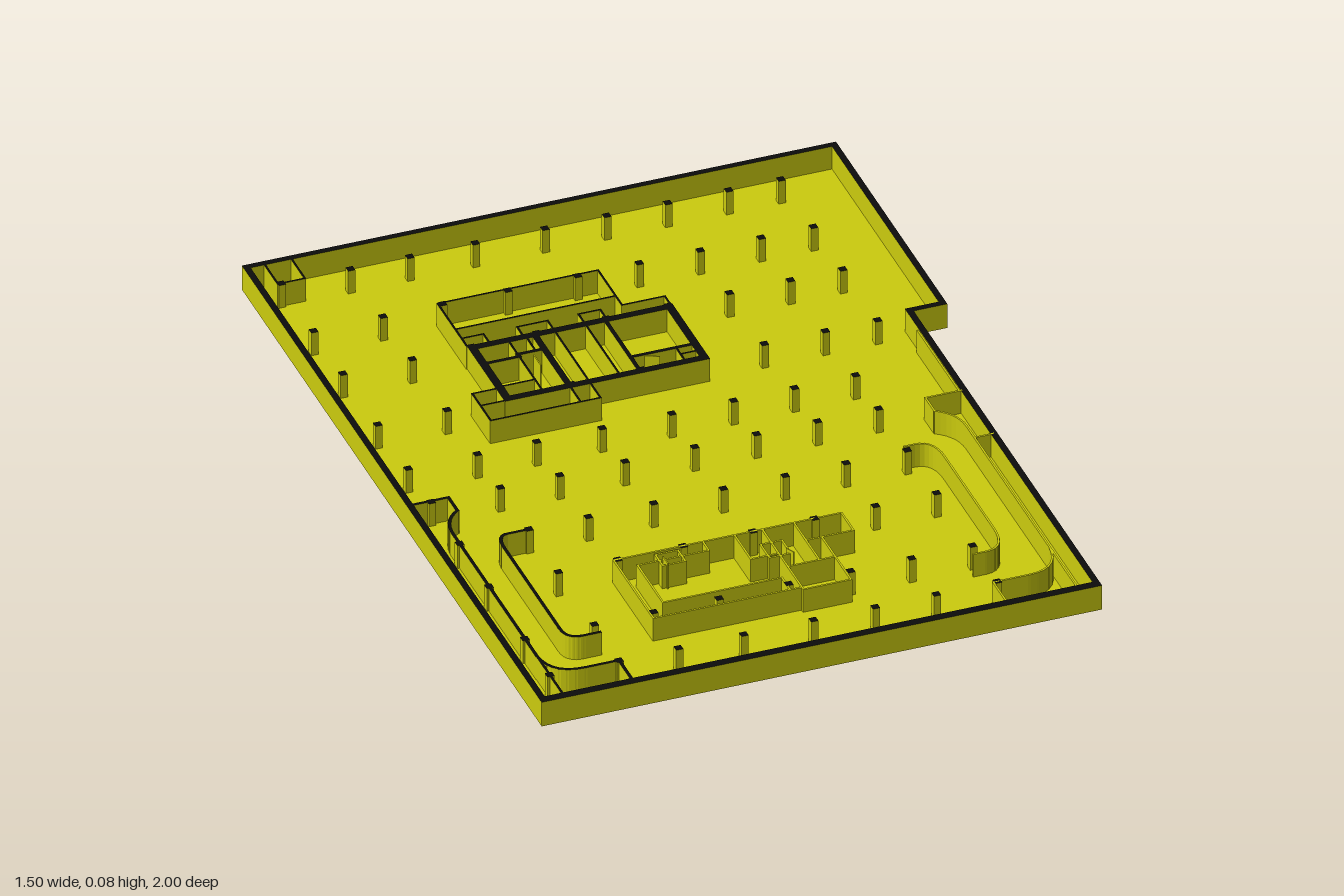
import * as THREE from 'three';

const H = 0.068;      // wall height
const FLOOR = 0.004;  // slab thickness

export function createModel() {
  const model = new THREE.Group();
  model.name = 'floorPlan';
  const yellow = new THREE.MeshStandardMaterial({ color: 0xcccc0e });
  yellow.name = 'yellow';
  const black = new THREE.MeshStandardMaterial({ color: 0x0c0c0c });
  black.name = 'black';
  const capped = [yellow, yellow, black, yellow, yellow, yellow];

  const group = (name) => {
    const g = new THREE.Group();
    g.name = name;
    model.add(g);
    return g;
  };

  // Straight wall between two plan points
  const wall = (parent, name, a, b, t, mat = capped, top = H) => {
    const dx = b[0] - a[0], dz = b[1] - a[1];
    const m = new THREE.Mesh(new THREE.BoxGeometry(Math.hypot(dx, dz) + t, top - 0.001, t), mat);
    m.position.set((a[0] + b[0]) / 2, (top + 0.001) / 2, (a[1] + b[1]) / 2);
    m.rotation.y = -Math.atan2(dz, dx);
    m.name = name;
    parent.add(m);
  };
  const run = (parent, name, pts, t, mat) => {
    for (let i = 1; i < pts.length; i++) wall(parent, name, pts[i - 1], pts[i], t, mat);
  };
  const rect = (parent, name, x0, z0, x1, z1, t, mat) =>
    run(parent, name, [[x0, z0], [x1, z0], [x1, z1], [x0, z1], [x0, z0]], t, mat);
  // Quarter bend from a to b, rounded towards corner c
  const bend = (a, c, b) => new THREE.QuadraticBezierCurve(
    new THREE.Vector2(...a), new THREE.Vector2(...c), new THREE.Vector2(...b),
  ).getPoints(7).map((p) => [p.x, p.y]);

  // Floor slab with the stepped right-hand edge
  const outline = [[-0.75, -1], [0.75, -1], [0.75, -0.257], [0.665, -0.257], [0.665, 1], [-0.75, 1]];
  const slabShape = new THREE.Shape(outline.map(([x, z]) => new THREE.Vector2(x, -z)));
  const slab = new THREE.Mesh(
    new THREE.ExtrudeGeometry(slabShape, { depth: FLOOR, bevelEnabled: false }), yellow);
  slab.rotation.x = -Math.PI / 2;
  slab.name = 'floorSlab';
  model.add(slab);

  // Perimeter walls
  const outer = group('perimeterWalls');
  run(outer, 'perimeterWall', [[-0.742, 0.992], [-0.742, -0.992], [0.742, -0.992],
    [0.742, -0.265], [0.657, -0.265], [0.657, 0.992]], 0.016);
  wall(outer, 'frontWall', [-0.739, 0.989], [0.654, 0.989], 0.022);
  rect(outer, 'cornerShaft', -0.698, -0.988, -0.63, -0.897, 0.005);

  // Column grid
  const columns = group('columns');
  const xs = [-0.69, -0.515, -0.365, -0.2, -0.024, 0.132, 0.286, 0.44, 0.572];
  const zs = [-0.897, -0.68, -0.485, -0.252, -0.05, 0.103, 0.294, 0.49, 0.73, 0.895];
  const columnGeo = new THREE.BoxGeometry(0.018, H, 0.018);
  xs.forEach((x, i) => zs.forEach((z, j) => {
    if (i === 8 && j > 3) return;
    const c = new THREE.Mesh(columnGeo, capped);
    c.position.set(x, H / 2, z);
    c.name = 'column';
    columns.add(c);
  }));

  // Rear service core: thick walls
  const core = group('rearCore');
  rect(core, 'coreWall', -0.365, -0.48, 0.133, -0.246, 0.02);
  wall(core, 'coreDivider', [-0.208, -0.48], [-0.208, -0.246], 0.016);
  const medium = [
    [-0.03, -0.48, -0.03, -0.246], [-0.03, -0.31, 0.133, -0.31],
    [-0.365, -0.405, -0.275, -0.405], [-0.275, -0.415, -0.208, -0.415],
  ];
  medium.forEach(([a, b, c, d]) => wall(core, 'roomWall', [a, b], [c, d], 0.01));

  // Rear service core: thin partitions and lobbies
  const thin = [
    [[-0.375, -0.49], [-0.375, -0.685], [0.03, -0.685], [0.03, -0.525], [0.138, -0.525], [0.138, -0.49]],
    [[-0.375, -0.567], [0.03, -0.567]],
    [[-0.375, -0.525], [-0.32, -0.525], [-0.32, -0.48]],
    [[-0.235, -0.48], [-0.235, -0.525], [-0.158, -0.525], [-0.158, -0.246]],
    [[-0.08, -0.246], [-0.08, -0.525], [-0.025, -0.525], [-0.025, -0.48]],
    [[-0.375, -0.295], [-0.435, -0.295], [-0.435, -0.172], [-0.158, -0.172], [-0.158, -0.236]],
    [[-0.435, -0.24], [-0.365, -0.24]], [[-0.208, -0.24], [-0.208, -0.172]],
    [[-0.365, -0.3], [-0.275, -0.3]], [[-0.275, -0.48], [-0.275, -0.246]],
    [[-0.23, -0.48], [-0.23, -0.415]], [[0.085, -0.31], [0.085, -0.246]],
    [[0.085, -0.28], [0.133, -0.28]],
  ];
  thin.forEach((p) => run(core, 'partition', p, 0.005));
  wall(core, 'doorLeaf', [-0.245, -0.385], [-0.245, -0.34], 0.003, yellow, 0.077);
  wall(core, 'doorLeaf', [0, -0.29], [0.03, -0.275], 0.003, yellow, 0.077);

  // Left-hand page side ramp
  const rampA = group('rampNegativeX');
  run(rampA, 'rampOuterWall', [[-0.735, 0.1], [-0.645, 0.1],
    ...bend([-0.645, 0.16], [-0.69, 0.19], [-0.69, 0.25]),
    ...bend([-0.69, 0.81], [-0.685, 0.895], [-0.6, 0.895]),
    [-0.515, 0.895], [-0.515, 0.98]], 0.008);
  wall(rampA, 'rampSideWall', [-0.69, 0.8], [-0.69, 0.98], 0.006);
  run(rampA, 'rampInnerWall', [[-0.515, 0.295], ...bend([-0.57, 0.295], [-0.598, 0.295], [-0.598, 0.35]),
    ...bend([-0.598, 0.72], [-0.598, 0.766], [-0.555, 0.766]), [-0.515, 0.766]], 0.008);

  // Opposite ramp
  const rampB = group('rampPositiveX');
  run(rampB, 'rampOuterWall', [[0.65, 0.1], [0.56, 0.1],
    ...bend([0.56, 0.16], [0.608, 0.19], [0.608, 0.25]),
    ...bend([0.608, 0.8], [0.6, 0.895], [0.52, 0.895]),
    [0.43, 0.895], [0.43, 0.98]], 0.005, yellow);
  wall(rampB, 'rampSideWall', [0.608, 0.8], [0.608, 0.98], 0.005, yellow);
  wall(rampB, 'rampCrossWall', [0.608, 0.3], [0.655, 0.3], 0.005, yellow);
  wall(rampB, 'edgeWall', [0.645, -0.175], [0.645, 0.1], 0.005, yellow);
  run(rampB, 'rampInnerWall', [[0.44, 0.277], ...bend([0.465, 0.277], [0.513, 0.277], [0.513, 0.35]),
    ...bend([0.513, 0.68], [0.513, 0.766], [0.46, 0.766]), [0.43, 0.766]], 0.005, yellow);

  // Front service core: plain uncapped-colour walls
  const front = group('frontCore');
  const frontRuns = [
    [[0, 0.755], [-0.375, 0.755], [-0.375, 0.49], [0.2, 0.49], [0.2, 0.57], [0.08, 0.57]],
    [[-0.33, 0.7], [-0.03, 0.7], [-0.03, 0.755]],
    [[-0.33, 0.7], [-0.33, 0.53], [-0.15, 0.53], [-0.15, 0.49]],
    [[0, 0.49], [0, 0.765], [0.12, 0.765], [0.12, 0.57]],
    [[-0.07, 0.49], [-0.07, 0.6], [0, 0.6]], [[0, 0.66], [0.12, 0.66]],
    [[0.08, 0.49], [0.08, 0.66]],
  ];
  frontRuns.forEach((p) => run(front, 'partition', p, 0.005, yellow));
  rect(front, 'shaft', -0.275, 0.503, -0.218, 0.553, 0.005, yellow);
  rect(front, 'shaft', -0.027, 0.55, 0.027, 0.61, 0.005, yellow);
  wall(front, 'doorLeaf', [-0.265, 0.53], [-0.265, 0.56], 0.003, yellow, 0.077);
  wall(front, 'doorLeaf', [0.02, 0.6], [0.03, 0.62], 0.003, yellow, 0.077);

  return model;
}
